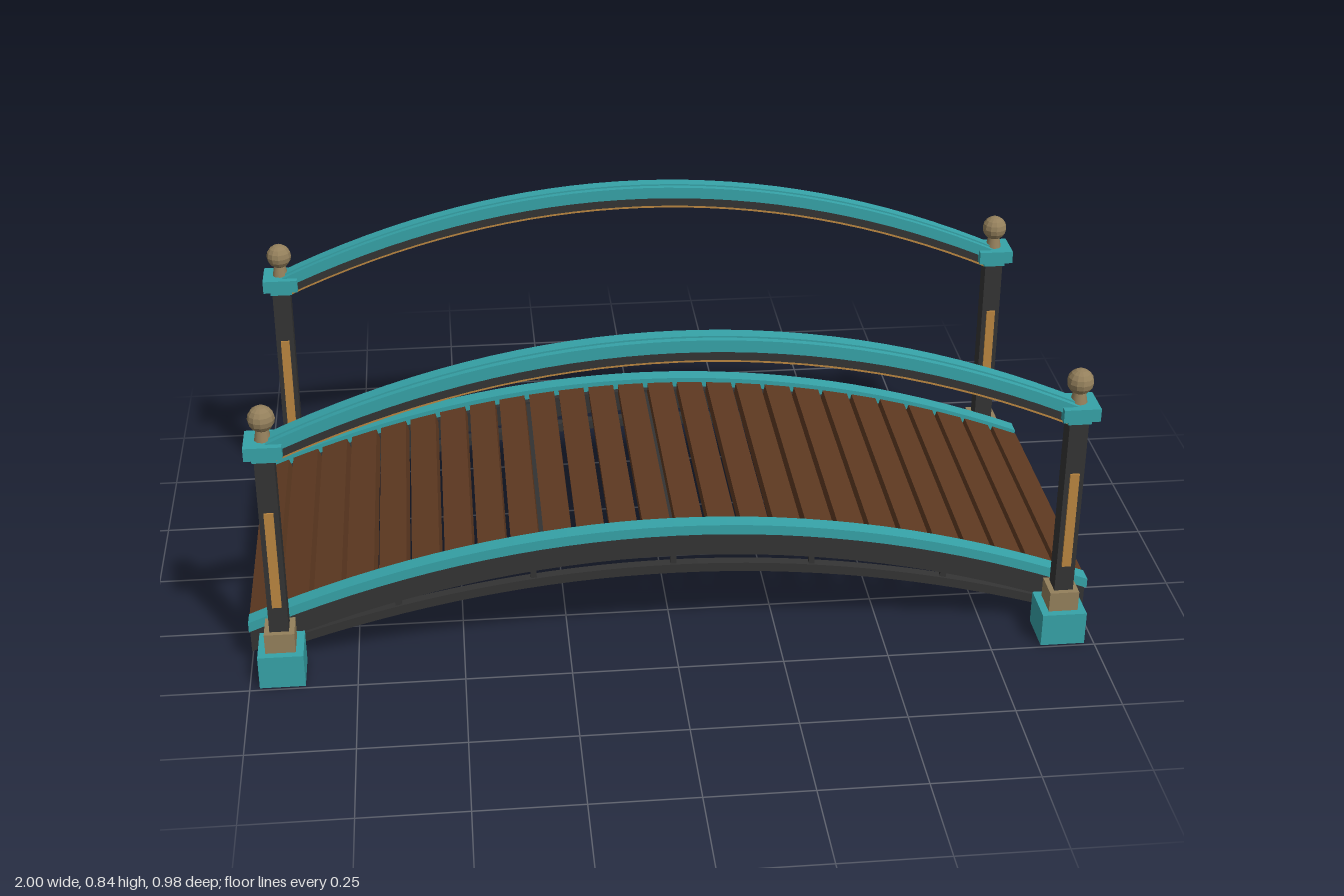
import * as THREE from 'three';

const mat = (name, color) => {
  const m = new THREE.MeshStandardMaterial({ color });
  m.name = name;
  return m;
};

export function createModel() {
  const teal = mat('teal paint', 0x36a3a8);
  const wood = mat('brown planks', 0x5e3921);
  const dark = mat('dark iron', 0x343434);
  const tan = mat('tan stone', 0x94805c);
  const amber = mat('amber inlay', 0xba8640);

  const model = new THREE.Group();
  model.name = 'archedBridge';

  const add = (parent, name, geometry, material, x = 0, y = 0, z = 0) => {
    const mesh = new THREE.Mesh(geometry, material);
    mesh.name = name;
    mesh.position.set(x, y, z);
    parent.add(mesh);
    return mesh;
  };
  const box = (parent, name, w, h, d, material, x, y, z) =>
    add(parent, name, new THREE.BoxGeometry(w, h, d), material, x, y, z);

  // Arched band: crown heights of both edges, drop per x squared, half length, z width
  const arch = (parent, name, bottom, top, drop, half, width, material, z) => {
    const n = 32, points = [];
    for (let i = 0; i <= n; i++) {
      const x = -half + (2 * half * i) / n;
      points.push(new THREE.Vector2(x, bottom - drop * x * x));
    }
    for (let i = n; i >= 0; i--) {
      const x = -half + (2 * half * i) / n;
      points.push(new THREE.Vector2(x, top - drop * x * x));
    }
    const g = new THREE.ExtrudeGeometry(new THREE.Shape(points), { depth: width, bevelEnabled: false });
    g.translate(0, 0, -width / 2);
    return add(parent, name, g, material, 0, 0, z);
  };

  const DROP = 0.205;
  const deckY = (x) => 0.317 - DROP * x * x;
  const tilt = (x) => Math.atan(-2 * DROP * x);

  // Deck planks following the arch
  const deck = new THREE.Group();
  deck.name = 'deck';
  model.add(deck);
  const count = 26, pitch = 2 / count;
  for (let i = 0; i < count; i++) {
    const x = -1 + pitch * (i + 0.5), a = tilt(x);
    const plank = box(deck, 'plank', 0.065 / Math.cos(a), 0.03, 0.694, wood, x, deckY(x) - 0.015, 0);
    plank.rotation.z = a;
  }

  // Cross joists under the deck
  for (const x of [-0.85, -0.58, -0.31, 0, 0.31, 0.58, 0.85]) {
    box(deck, 'joist', 0.03, 0.035, 0.72, dark, x, deckY(x) - 0.049, 0).rotation.z = tilt(x);
  }

  for (const side of [1, -1]) {
    // Side beam, lower chord, struts and painted trim
    const frame = new THREE.Group();
    frame.name = side > 0 ? 'frontSideFrame' : 'backSideFrame';
    model.add(frame);
    arch(frame, 'sideBeam', 0.237, 0.292, DROP, 0.998, 0.03, dark, side * 0.37);
    arch(frame, 'lowerChord', 0.188, 0.211, 0.18, 0.93, 0.024, dark, side * 0.37);
    arch(frame, 'deckTrim', 0.299, 0.324, DROP, 1, 0.04, teal, side * 0.377);
    for (const x of [-0.65, -0.33, 0, 0.33, 0.65]) {
      box(frame, 'strut', 0.014, 0.05, 0.014, dark, x, 0.225 - 0.19 * x * x, side * 0.37);
    }

    // Handrail with cap ridge, iron core and amber underside
    const rail = new THREE.Group();
    rail.name = side > 0 ? 'frontRail' : 'backRail';
    rail.position.z = side * 0.438;
    model.add(rail);
    arch(rail, 'handrail', 0.81, 0.839, 0.25, 0.94, 0.054, teal, 0);
    arch(rail, 'handrailRidge', 0.836, 0.843, 0.25, 0.93, 0.026, teal, 0);
    arch(rail, 'railCore', 0.786, 0.81, 0.25, 0.92, 0.036, dark, 0);
    arch(rail, 'railInlay', 0.778, 0.786, 0.25, 0.91, 0.022, amber, 0);

    // End posts
    for (const end of [1, -1]) {
      const post = new THREE.Group();
      post.name = 'post';
      post.position.set(end * 0.924, 0, side * 0.438);
      model.add(post);
      box(post, 'postBase', 0.106, 0.083, 0.108, teal, 0, 0.0415, 0);
      box(post, 'postPlinth', 0.07, 0.05, 0.072, tan, 0, 0.108, 0);
      box(post, 'postShaft', 0.045, 0.46, 0.046, dark, 0, 0.36, 0);
      for (const f of [1, -1]) {
        box(post, 'postInlay', 0.022, 0.25, 0.006, amber, 0, 0.326, f * 0.0245);
      }
      box(post, 'postCollar', 0.054, 0.014, 0.056, teal, 0, 0.589, 0);
      box(post, 'postCap', 0.086, 0.032, 0.086, teal, 0, 0.612, 0);
      add(post, 'finialStem', new THREE.CylinderGeometry(0.014, 0.02, 0.03, 10), tan, 0, 0.642, 0);
      // Faceted finial ball
      const facets = new THREE.SphereGeometry(0.031, 12, 8).toNonIndexed();
      facets.computeVertexNormals();
      add(post, 'finialBall', facets, tan, 0, 0.68, 0);
    }
  }
  return model;
}
